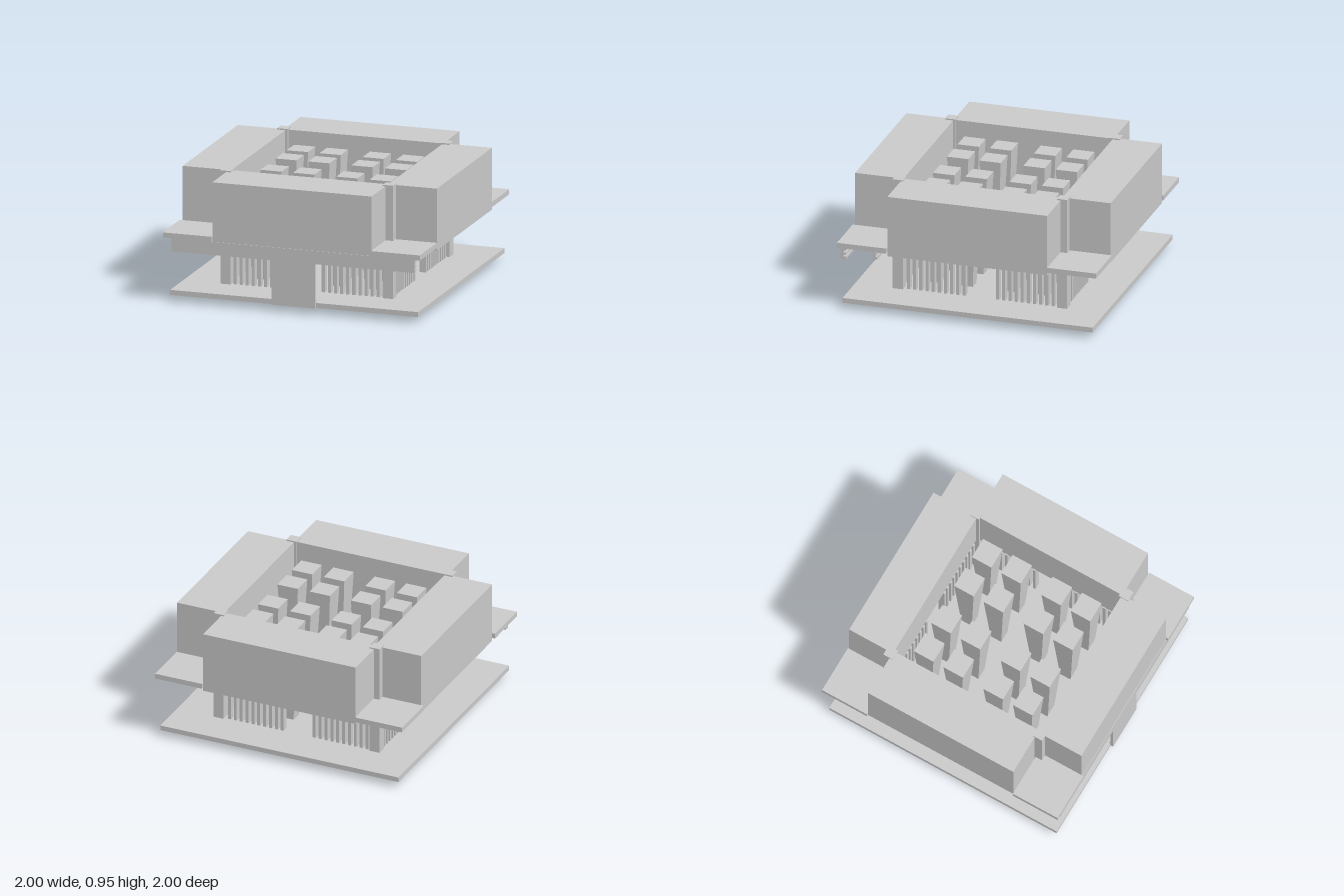
import * as THREE from 'three';

const material = new THREE.MeshStandardMaterial({ color: 0xcccccc, flatShading: true });

export function createModel() {
  const model = new THREE.Group();
  model.name = 'pavilion';

  const add = (name, geometry, x, y, z, parent = model) => {
    const mesh = new THREE.Mesh(geometry, material);
    mesh.name = name;
    mesh.position.set(x, y, z);
    parent.add(mesh);
    return mesh;
  };
  // Box given by its limits on each axis
  const span = (name, [x0, x1], [y0, y1], [z0, z1], parent) =>
    add(name, new THREE.BoxGeometry(x1 - x0, y1 - y0, z1 - z0),
      (x0 + x1) / 2, (y0 + y1) / 2, (z0 + z1) / 2, parent);
  const group = (name) => {
    const g = new THREE.Group();
    g.name = name;
    model.add(g);
    return g;
  };

  // Plinth and ground platform
  span('plinth', [-0.62, 0.635], [0, 0.05], [-0.63, 0.63]);
  span('platform', [-0.955, 0.975], [0.05, 0.088], [-0.965, 0.965]);

  // Four large upper volumes around the open court
  const upper = [0.47, 0.94];
  span('frontVolume', [-0.62, 0.618], upper, [0.61, 0.982]);
  span('backVolume', [-0.62, 0.618], upper, [-0.99, -0.618]);
  span('rightVolume', [-0.98, -0.602], upper, [-0.622, 0.612]);
  span('leftVolume', [0.618, 0.998], upper, [-0.622, 0.612]);

  // Terrace slabs and full-height columns at the corners
  const corners = group('corners');
  for (const sx of [-1, 1]) for (const sz of [-1, 1]) {
    add('cornerTerrace', new THREE.BoxGeometry(0.38, 0.04, 0.38), sx * 0.81, 0.51, sz * 0.81, corners);
    add('cornerColumn', new THREE.BoxGeometry(0.08, 0.92, 0.08), sx * 0.632 + 0.006, 0.49, sz * 0.634, corners);
  }

  // Slatted screens on all four sides, each with a central doorway
  const screens = group('screens');
  for (let side = 0; side < 4; side++) {
    const screen = new THREE.Group();
    screen.name = 'screen';
    screen.rotation.y = side * Math.PI / 2;
    for (const s of [-1, 1]) for (let i = 0; i < 10; i++) {
      add('slat', new THREE.BoxGeometry(0.024, 0.39, 0.05), s * (0.13 + i * 0.0475), 0.28, 0.634, screen);
    }
    screens.add(screen);
  }

  // Grid of square pillars that widen towards the top
  const pillars = group('pillars');
  const pillarGeometry = new THREE.CylinderGeometry(0.0825 * Math.SQRT2, 0.045 * Math.SQRT2, 0.775, 4);
  pillarGeometry.rotateY(Math.PI / 4);
  for (const x of [-0.42, -0.165, 0.17, 0.43]) for (const z of [-0.425, -0.175, 0.165, 0.415]) {
    add('pillar', pillarGeometry, x, 0.4725, z, pillars);
  }

  // T-shaped entrance: panel, long beam, and rails behind the beam
  const entrance = group('entrance');
  span('entrancePanel', [-0.16, 0.18], [0.05, 0.39], [0.963, 0.986], entrance);
  span('entranceBeam', [-0.935, 0.955], [0.388, 0.488], [0.963, 0.986], entrance);
  for (const y of [0.4, 0.433, 0.466]) {
    span('beamRail', [-0.935, 0.955], [y - 0.009, y + 0.009], [0.943, 0.964], entrance);
  }
  span('panelFoot', [-0.16, 0.18], [0.088, 0.11], [0.953, 0.964], entrance);

  return model;
}
